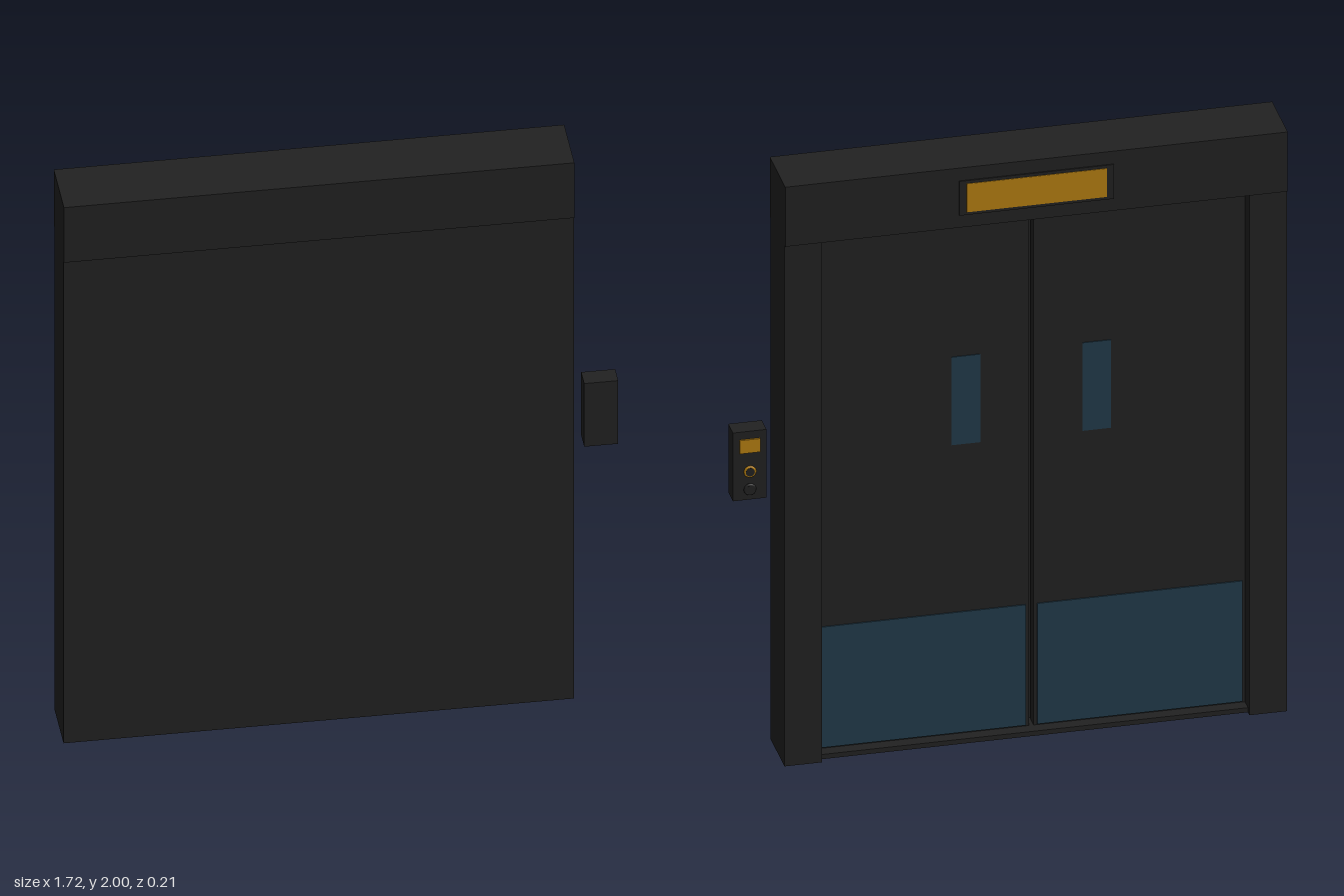
import * as THREE from 'three';

const CX = -0.0725; // centre line of the doorway

function material(name, color) {
  const m = new THREE.MeshStandardMaterial({ color });
  m.name = name;
  return m;
}

export function createModel() {
  const root = new THREE.Group();
  root.name = 'elevatorDoorway';

  const charcoal = material('charcoal metal', 0x222222);
  const blue = material('dark blue panel', 0x223b4a);
  const amber = material('amber light', 0xb47e12);

  // Box given by its lower and upper corners
  function box(name, mat, [x0, y0, z0], [x1, y1, z1], parent = root) {
    const mesh = new THREE.Mesh(new THREE.BoxGeometry(x1 - x0, y1 - y0, z1 - z0), mat);
    mesh.position.set((x0 + x1) / 2, (y0 + y1) / 2, (z0 + z1) / 2);
    mesh.name = name;
    parent.add(mesh);
    return mesh;
  }

  // Shaft wall, sill and header
  box('wallSlab', charcoal, [CX - 0.7875, 0, 0.02], [CX + 0.7875, 1.795, 0.097]);
  box('sill', charcoal, [CX - 0.67, 0, -0.07], [CX + 0.67, 0.016, 0.02]);
  box('header', charcoal, [CX - 0.7875, 1.795, -0.1], [CX + 0.7875, 2, 0.105]);

  // Header indicator
  const indicator = new THREE.Group();
  indicator.name = 'indicator';
  root.add(indicator);
  box('indicatorCasing', charcoal, [CX - 0.2425, 1.838, -0.104], [CX + 0.2425, 1.956, -0.1], indicator);
  box('indicatorLight', amber, [CX - 0.22, 1.848, -0.106], [CX + 0.22, 1.946, -0.104], indicator);

  // Jambs and sliding doors, mirrored about the centre line
  for (const [side, s] of [['left', 1], ['right', -1]]) {
    const span = (name, mat, a, b, y0, y1, z0, z1) =>
      box(name, mat, [CX + Math.min(s * a, s * b), y0, z0], [CX + Math.max(s * a, s * b), y1, z1]);
    span(side + 'Jamb', charcoal, 0.67, 0.7875, 0, 1.795, -0.09, 0.02);
    span(side + 'Door', charcoal, 0.007, 0.67, 0.016, 1.795, -0.03, 0.01);
    span(side + 'KickPlate', blue, 0.018, 0.662, 0.02, 0.435, -0.034, -0.03);
    span(side + 'Window', blue, 0.16, 0.25, 1.012, 1.315, -0.033, -0.03);
  }

  // Call panel beside the doorway
  const panel = new THREE.Group();
  panel.name = 'callPanel';
  root.add(panel);
  const px = 0.8075;
  box('panelBody', charcoal, [px - 0.0525, 0.895, -0.02], [px + 0.0525, 1.13, 0.042], panel);
  box('panelDisplay', amber, [px - 0.032, 1.058, -0.026], [px + 0.032, 1.104, -0.02], panel);

  // Two call buttons: the upper one has a lit ring
  for (const [name, y, ringMat] of [['upper', 0.993, amber], ['lower', 0.932, charcoal]]) {
    const cap = new THREE.Mesh(new THREE.CylinderGeometry(0.014, 0.014, 0.01, 20), charcoal);
    cap.rotation.x = Math.PI / 2;
    cap.position.set(px, y, -0.024);
    cap.name = name + 'Button';
    const ring = new THREE.Mesh(new THREE.TorusGeometry(0.015, 0.005, 8, 24), ringMat);
    ring.position.set(px, y, -0.024);
    ring.name = name + 'ButtonRing';
    panel.add(cap, ring);
  }

  return root;
}
